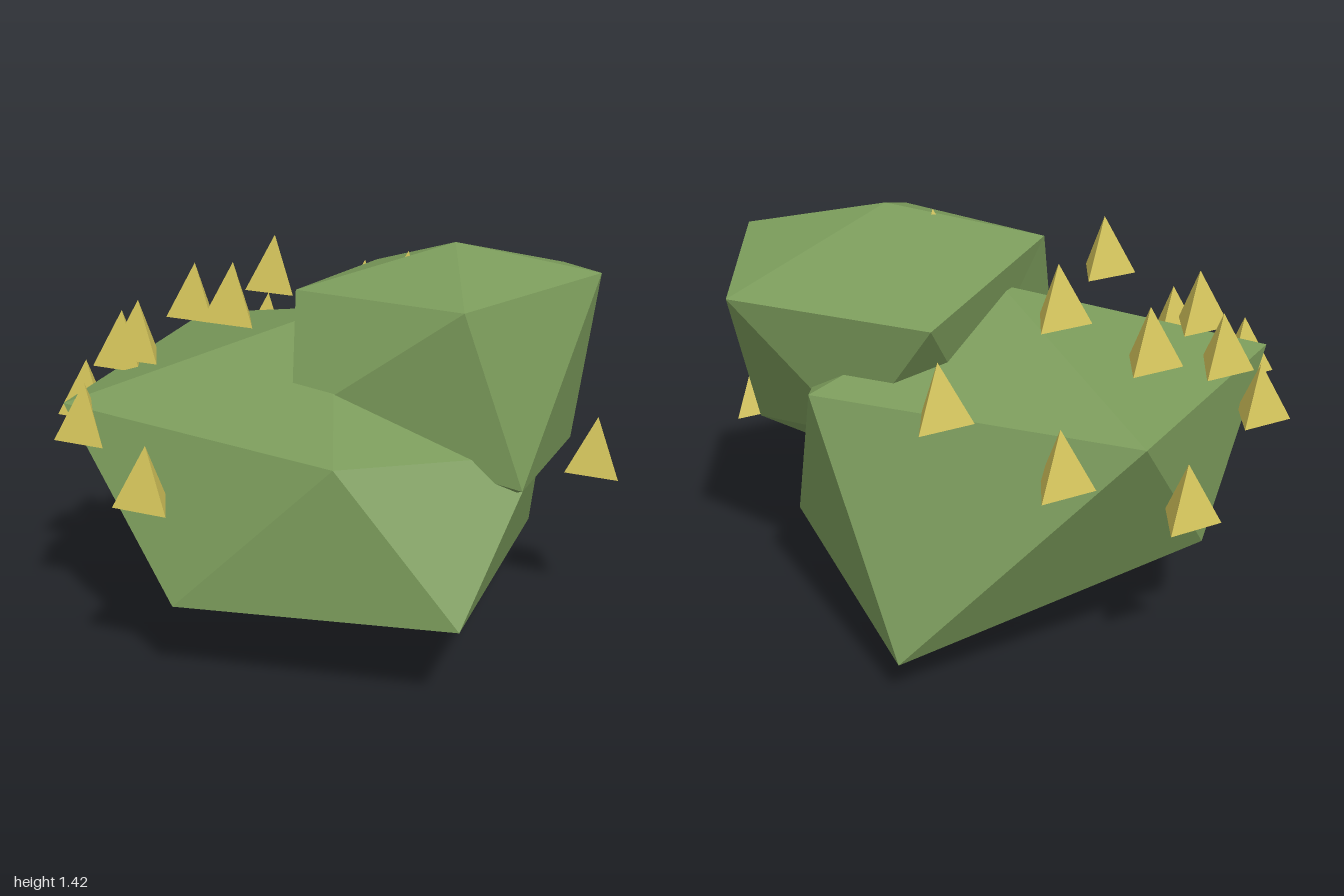
import * as THREE from 'three';

// Twenty-sided faceted lump: top point, upper ring, lower ring, bottom point.
// lower[i] sits between upper[i] and upper[i + 1], rings run front -> right -> back -> left.
function facetedLump(top, upper, lower, bottom) {
  const points = [];
  for (let i = 0; i < 5; i++) {
    const j = (i + 1) % 5;
    points.push(
      top, upper[i], upper[j],
      upper[i], lower[i], upper[j],
      lower[i], lower[j], upper[j],
      lower[j], lower[i], bottom
    );
  }
  const geometry = new THREE.BufferGeometry();
  geometry.setAttribute('position', new THREE.Float32BufferAttribute(points.flat(), 3));
  geometry.computeVertexNormals();
  return geometry;
}

export function createModel() {
  const model = new THREE.Group();
  model.name = 'spikyCactus';

  const green = new THREE.MeshStandardMaterial({ color: 0x7a9a5a, flatShading: true });
  green.name = 'cactus green';
  const yellow = new THREE.MeshStandardMaterial({ color: 0xd4c45a, flatShading: true });
  yellow.name = 'spike yellow';

  // Large lower lump
  const body = new THREE.Mesh(facetedLump(
    [-0.02, 1.16, -0.05],
    [[0.29, 0.84, 0.66], [0.78, 0.74, 0.01], [0.28, 0.95, -0.79], [-0.83, 0.91, -0.54], [-0.79, 0.88, 0.56]],
    [[0.72, 0.33, 0.62], [0.62, 0.29, -0.44], [-0.15, 0.13, -0.94], [-0.82, 0.35, -0.03], [-0.24, 0.31, 0.8]],
    [-0.1, 0, 0.14]
  ), green);
  body.name = 'body';
  model.add(body);

  // Smaller lump growing out of the upper right
  const upperLump = new THREE.Mesh(facetedLump(
    [0.4, 1.42, -0.14],
    [[0.58, 1.29, 0.26], [0.88, 1.32, -0.31], [0.61, 1.22, -0.78], [-0.1, 1.19, -0.63], [-0.06, 1.28, 0.19]],
    [[0.78, 0.67, 0.19], [0.76, 0.64, -0.46], [0.22, 0.75, -0.62], [0, 0.8, -0.25], [0.01, 0.87, 0.38]],
    [0.35, 0.42, -0.2]
  ), green);
  upperLump.name = 'upperLump';
  model.add(upperLump);

  // Three-sided spikes, placed by their tips
  const height = 0.21;
  const spikeGeometry = new THREE.ConeGeometry(0.115, height, 3, 1, false, Math.PI);
  spikeGeometry.translate(0, -height / 2, 0);
  const tips = [
    [-0.6, 0.985, -0.68], [-0.2, 1.15, -0.75], [-0.9, 0.81, -0.37], [-0.65, 1.23, -0.16],
    [-0.35, 1.35, -0.24], [-0.77, 1.12, 0.18], [-0.89, 0.935, 0.25], [-0.62, 1.21, 0.31],
    [-0.27, 1.37, 0.25], [-0.7, 0.97, 0.56], [-0.27, 0.915, 0.88], [0.9, 0.79, -0.31],
    [0.26, 1.395, -0.05]
  ];
  const spikes = new THREE.Group();
  spikes.name = 'spikes';
  for (const tip of tips) {
    const spike = new THREE.Mesh(spikeGeometry, yellow);
    spike.name = 'spike';
    spike.position.set(...tip);
    spikes.add(spike);
  }
  model.add(spikes);

  return model;
}
